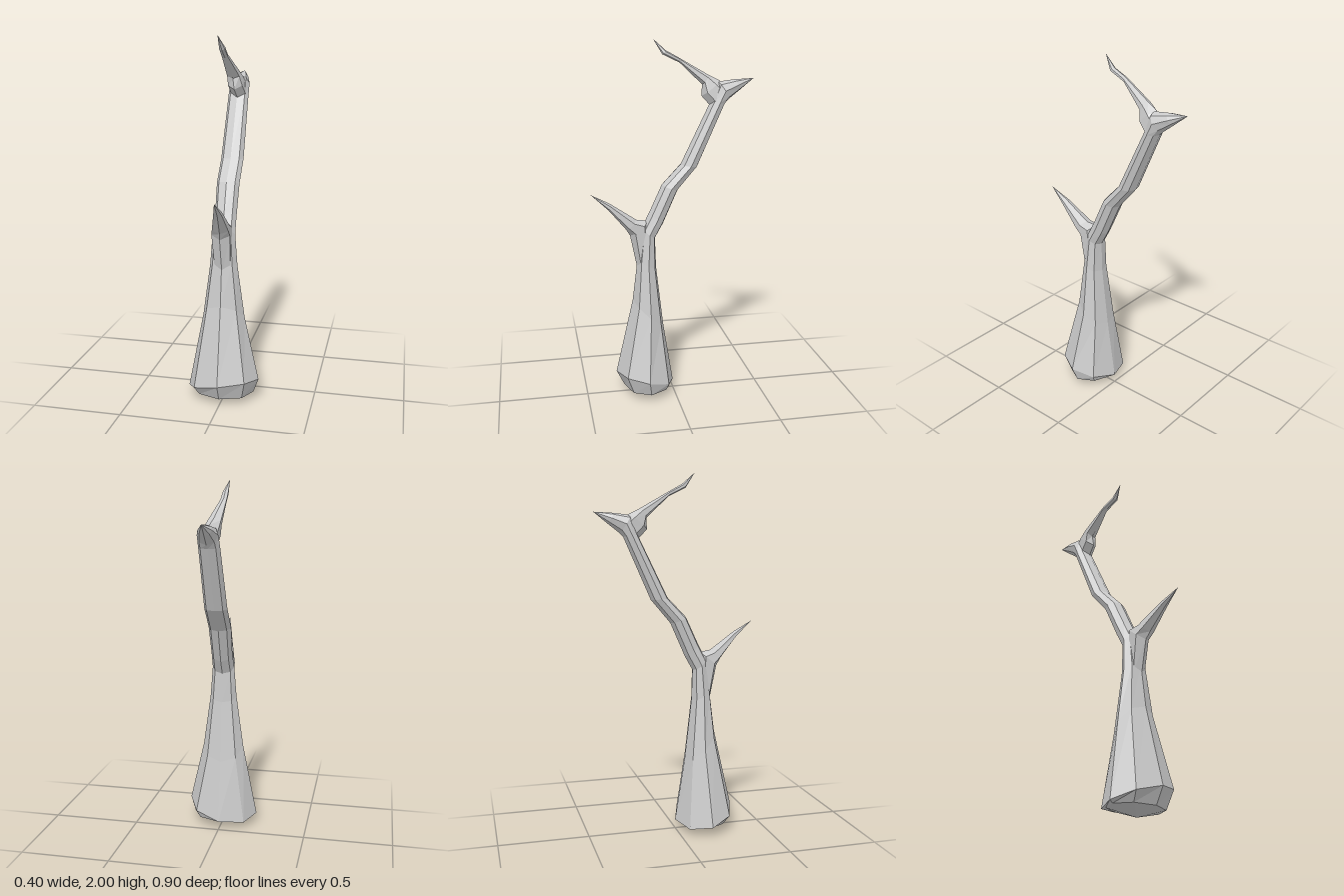
import * as THREE from 'three';

const material = new THREE.MeshStandardMaterial({ color: 0xcccccc, flatShading: true });

// One section: front edge (z, y), back edge (z, y), x range, sideways tilt
function ring([zF, yF, zB, yB, x0, x1, tilt = 0], sides) {
  const points = [];
  for (let i = 0; i < sides; i++) {
    const a = (i / sides) * Math.PI * 2;
    const x = (x0 + x1) / 2 + ((x1 - x0) / 2) * Math.sin(a);
    const t = (1 + Math.cos(a)) / 2;
    points.push(new THREE.Vector3(x, yB + (yF - yB) * t + tilt * x, zB + (zF - zB) * t));
  }
  return points;
}

// A section shrunk to a single point
const tip = (x, y, z) => [z, y, z, y, x, x];

// Faceted skin through a list of sections
function loft(name, sides, sections) {
  const rings = sections.map((s) => ring(s, sides));
  const positions = [];
  const triangle = (a, b, c) => {
    if (a.distanceTo(b) < 1e-5 || b.distanceTo(c) < 1e-5 || c.distanceTo(a) < 1e-5) return;
    for (const p of [a, b, c]) positions.push(p.x, p.y, p.z);
  };
  for (let r = 0; r < rings.length - 1; r++) {
    for (let i = 0; i < sides; i++) {
      const j = (i + 1) % sides;
      const [a, b] = [rings[r], rings[r + 1]];
      triangle(a[i], a[j], b[j]);
      triangle(a[i], b[j], b[i]);
    }
  }
  const geometry = new THREE.BufferGeometry();
  geometry.setAttribute('position', new THREE.Float32BufferAttribute(positions, 3));
  geometry.computeVertexNormals();
  const mesh = new THREE.Mesh(geometry, material);
  mesh.name = name;
  return mesh;
}

export function createModel() {
  const tree = new THREE.Group();
  tree.name = 'deadTree';

  // Flared foot, leaning trunk and the spike it ends in
  tree.add(loft('trunk', 8, [
    tip(0, 0, 0.155),
    [0.285, 0.04, 0.02, 0.045, -0.17, 0.17],
    [0.33, 0.13, 0.0, 0.05, -0.2, 0.2, 0.18],
    [0.23, 0.56, 0.055, 0.4, -0.12, 0.115],
    [0.2, 0.8, 0.095, 0.75, -0.078, 0.075],
    [0.175, 0.98, 0.1, 0.92, -0.066, 0.06],
    [0.13, 1.07, 0.055, 1.0, -0.063, 0.057],
    [0.06, 1.22, -0.03, 1.19, -0.07, 0.057],
    [-0.045, 1.33, -0.14, 1.32, -0.07, 0.057],
    [-0.21, 1.67, -0.29, 1.66, -0.063, 0.052],
    [-0.25, 1.775, -0.31, 1.68, -0.06, 0.052],
    [-0.34, 1.785, -0.375, 1.73, -0.045, 0.03],
    tip(-0.01, 1.79, -0.45),
  ]));

  // Short thorn-like branch at the front
  tree.add(loft('lowerBranch', 6, [
    [0.2, 0.74, 0.13, 0.8, -0.05, 0.05],
    [0.24, 0.94, 0.14, 1.02, -0.062, 0.055],
    [0.265, 0.98, 0.205, 1.03, -0.05, 0.055],
    [0.36, 1.095, 0.35, 1.13, -0.012, 0.04],
    tip(0.02, 1.185, 0.455),
  ]));

  // Crooked branch reaching forward from the top
  tree.add(loft('upperBranch', 6, [
    [-0.205, 1.65, -0.3, 1.74, -0.05, 0.045],
    [-0.16, 1.7, -0.26, 1.78, -0.058, 0.035],
    [-0.165, 1.76, -0.2, 1.81, -0.06, 0.02],
    [-0.045, 1.875, -0.035, 1.905, -0.056, -0.018],
    [0.05, 1.92, 0.03, 1.94, -0.05, -0.015],
    tip(-0.045, 2.0, 0.097),
  ]));

  return tree;
}
